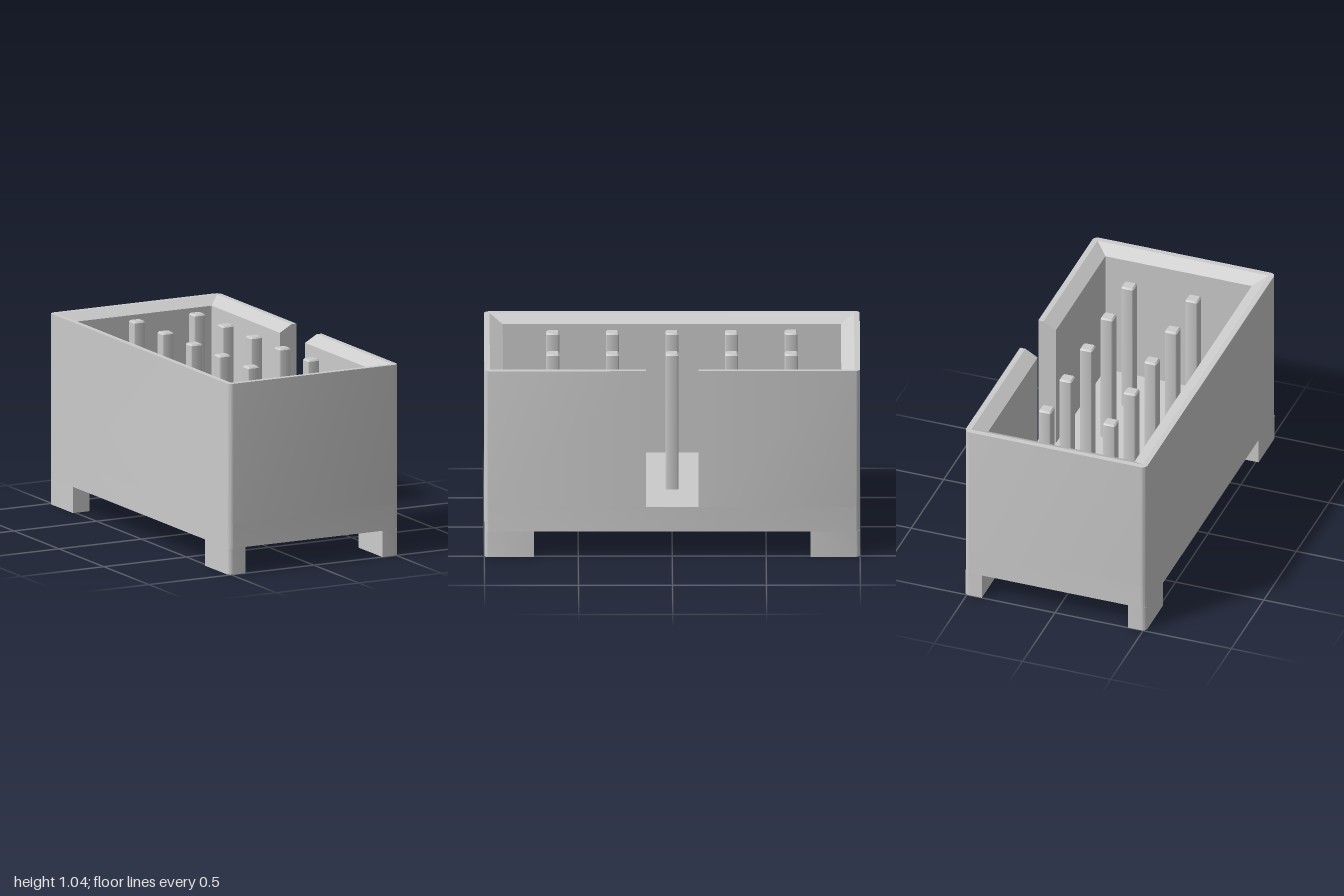
import * as THREE from 'three';
import { toCreasedNormals } from 'three/addons/utils/BufferGeometryUtils.js';

const W = 0.515, D = 1, R = 0.03;          // outer half sizes, corner radius
const IN_X = 0.415, IN_Z = 0.9;            // cavity half sizes
const BASE = 0.143, FLOOR = 0.28, LIP = 1.0, TOP = 1.04;
const SLOT = 0.14;                         // half width of the key slot
const material = new THREE.MeshStandardMaterial({ color: 0xcccccc });

function part(name, geometry) {
  const mesh = new THREE.Mesh(toCreasedNormals(geometry, 0.5), material);
  mesh.name = name;
  return mesh;
}

function roundedRect(w, d, r) {
  const s = new THREE.Shape();
  s.absarc(w - r, d - r, r, 0, Math.PI / 2);
  s.absarc(r - w, d - r, r, Math.PI / 2, Math.PI);
  s.absarc(r - w, r - d, r, Math.PI, Math.PI * 1.5);
  s.absarc(w - r, r - d, r, Math.PI * 1.5, Math.PI * 2);
  s.closePath();
  return s;
}

// Extrude a plan shape upwards between two heights
function slab(shape, y0, y1, bevel = 0) {
  const g = new THREE.ExtrudeGeometry(shape, {
    depth: y1 - y0 - 2 * bevel, curveSegments: 6, bevelEnabled: bevel > 0,
    bevelSize: bevel, bevelThickness: bevel, bevelSegments: 1,
  });
  return g.rotateX(-Math.PI / 2).translate(0, y0 + bevel, 0);
}

// Wall profile (outside, rim, sloped lip, inside) swept from one side of the slot to the other
function wallGeometry() {
  const station = (outer, rim, inner) => [
    [outer[0], FLOOR, outer[1]], [outer[0], TOP, outer[1]], [rim[0], TOP, rim[1]],
    [inner[0], LIP, inner[1]], [inner[0], FLOOR, inner[1]],
  ].map((p) => new THREE.Vector3(...p));
  const slotEnd = (z) => station([W, z], [W - R, z], [IN_X, z]);

  const stations = [slotEnd(-SLOT)];
  [[1, -1], [-1, -1], [-1, 1], [1, 1]].forEach(([sx, sz], k) => {
    const c = [sx * (W - R), sz * (D - R)];
    for (let i = 0; i <= 6; i++) {
      const a = -(k + i / 6) * Math.PI / 2;
      stations.push(station([c[0] + R * Math.cos(a), c[1] + R * Math.sin(a)], c, [sx * IN_X, sz * IN_Z]));
    }
  });
  stations.push(slotEnd(SLOT));

  const points = [];
  const tri = (a, b, c) => {
    if (new THREE.Triangle(a, b, c).getArea() > 1e-8) points.push(a, b, c);
  };
  for (let i = 0; i + 1 < stations.length; i++) {
    const a = stations[i], b = stations[i + 1];
    for (let j = 0; j < 4; j++) {
      tri(a[j], b[j], b[j + 1]);
      tri(a[j], b[j + 1], a[j + 1]);
    }
  }
  // Slot faces
  const first = stations[0], last = stations[stations.length - 1];
  for (let j = 1; j < 4; j++) {
    tri(first[0], first[j], first[j + 1]);
    tri(last[0], last[j + 1], last[j]);
  }
  return new THREE.BufferGeometry().setFromPoints(points);
}

export function createModel() {
  const model = new THREE.Group();
  model.name = 'pinHeader';

  model.add(part('base', slab(roundedRect(W, D, R), BASE, FLOOR)));
  model.add(part('walls', wallGeometry()));

  // Corner feet, rounded on the outer corner
  for (const sx of [-1, 1]) for (const sz of [-1, 1]) {
    const s = new THREE.Shape();
    s.moveTo(sx * IN_X, sz * 0.735);
    s.lineTo(sx * W, sz * 0.735);
    s.lineTo(sx * W, sz * (D - R));
    s.quadraticCurveTo(sx * W, sz * D, sx * (W - R), sz * D);
    s.lineTo(sx * IN_X, sz * D);
    s.closePath();
    model.add(part('foot', slab(s, 0, BASE)));
  }

  // Two rows of five square pins with bevelled tips
  const pins = new THREE.Group();
  pins.name = 'pins';
  const pinShape = roundedRect(0.027, 0.027, 0.004);
  for (const x of [-0.182, 0.182]) for (let i = -2; i <= 2; i++) {
    const pin = part('pin', slab(pinShape, FLOOR - 0.02, 1.035, 0.008));
    pin.position.set(x, 0, i * 0.317);
    pins.add(pin);
  }
  model.add(pins);
  return model;
}
